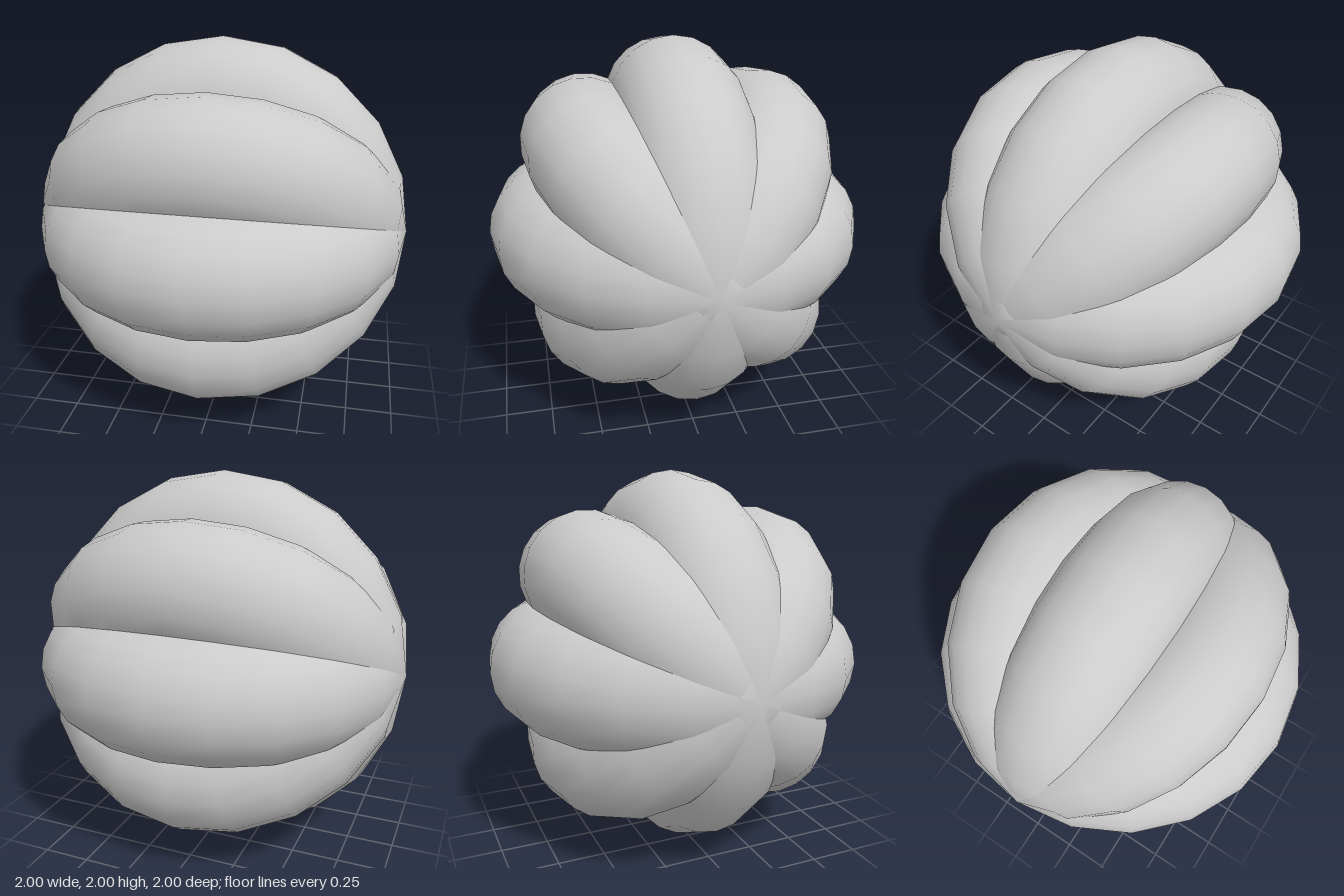
import * as THREE from 'three';

// Ribbed ball: four identical rings sharing the x axis, each turned 45 degrees from the last
export function createModel() {
  const group = new THREE.Group();
  group.name = 'ribbedBall';
  const material = new THREE.MeshStandardMaterial({ color: 0xcccccc });
  const ringGeometry = new THREE.TorusGeometry(2 / 3, 1 / 3, 20, 20);

  const ringCount = 4;
  for (let i = 0; i < ringCount; i++) {
    const ring = new THREE.Mesh(ringGeometry, material);
    ring.name = `ring${i + 1}`;
    ring.position.y = 1;
    ring.rotation.x = (i * Math.PI) / ringCount;
    group.add(ring);
  }
  return group;
}
